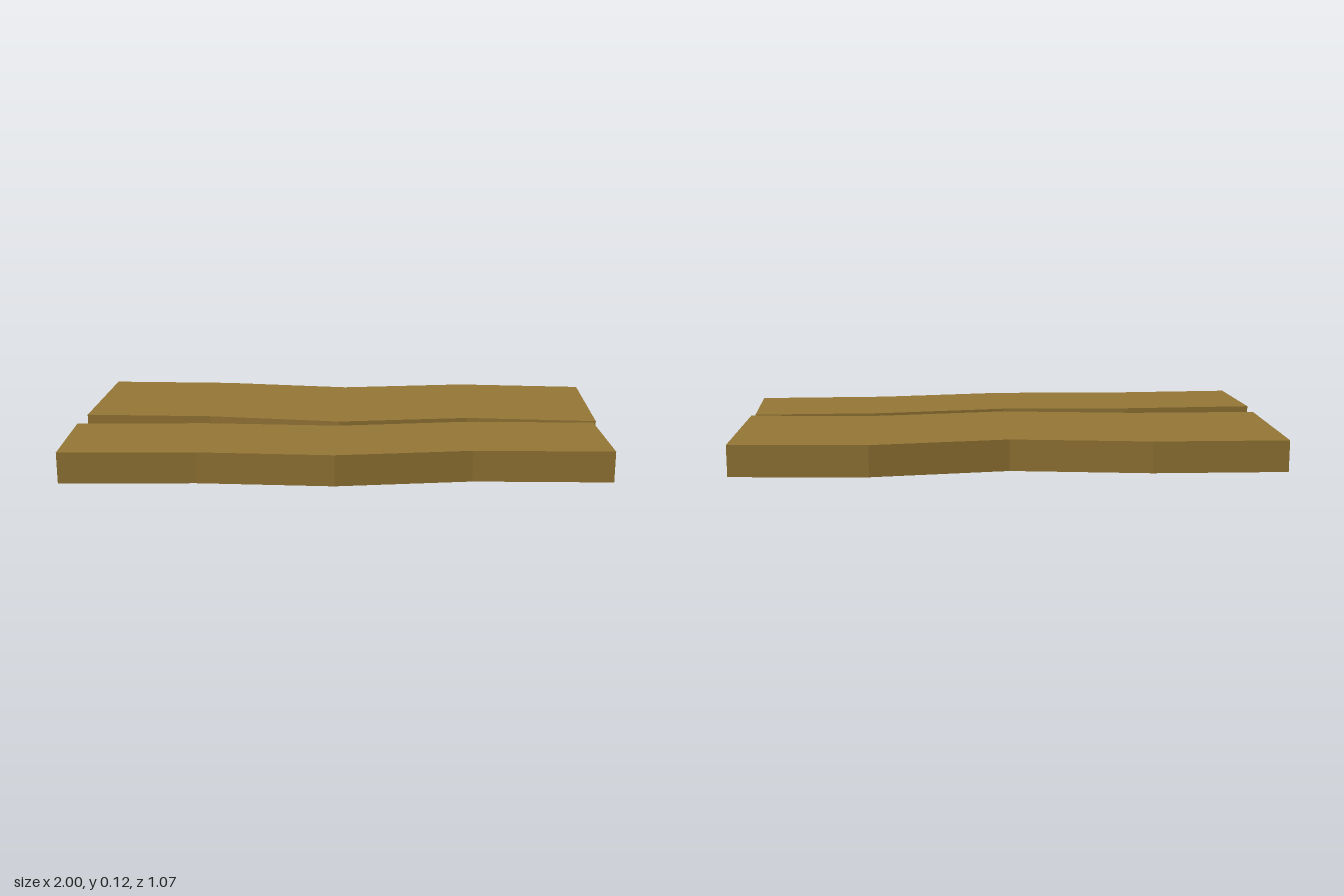
import * as THREE from 'three';

const HEIGHT = 0.115;

// Flat plank from its back and front edges, given as [x, z] from left to right
function plank(name, back, front, material) {
  const outline = [...back, ...[...front].reverse()].map(([x, z]) => new THREE.Vector2(x, z));
  const geometry = new THREE.ExtrudeGeometry(new THREE.Shape(outline), { depth: HEIGHT, bevelEnabled: false });
  geometry.rotateX(Math.PI / 2).translate(0, HEIGHT, 0);
  const mesh = new THREE.Mesh(geometry, material);
  mesh.name = name;
  return mesh;
}

export function createModel() {
  const wood = new THREE.MeshStandardMaterial({ color: 0x967735 });
  wood.name = 'wood';

  const group = new THREE.Group();
  group.name = 'planks';

  // Wide plank at the back
  group.add(plank('widePlank',
    [[-0.992, -0.519], [-0.505, -0.519], [0, -0.463], [0.495, -0.538], [0.99, -0.516]],
    [[-0.992, 0.027], [-0.505, 0.027], [0, 0.08], [0.495, 0.005], [0.99, 0.028]], wood));

  // Narrow plank at the front, turned slightly
  group.add(plank('narrowPlank',
    [[-1, 0.153], [-0.5, 0.127], [0, 0.138], [0.48, 0.061], [0.977, 0.049]],
    [[-0.98, 0.533], [-0.488, 0.506], [0.005, 0.518], [0.495, 0.441], [1, 0.428]], wood));

  return group;
}
